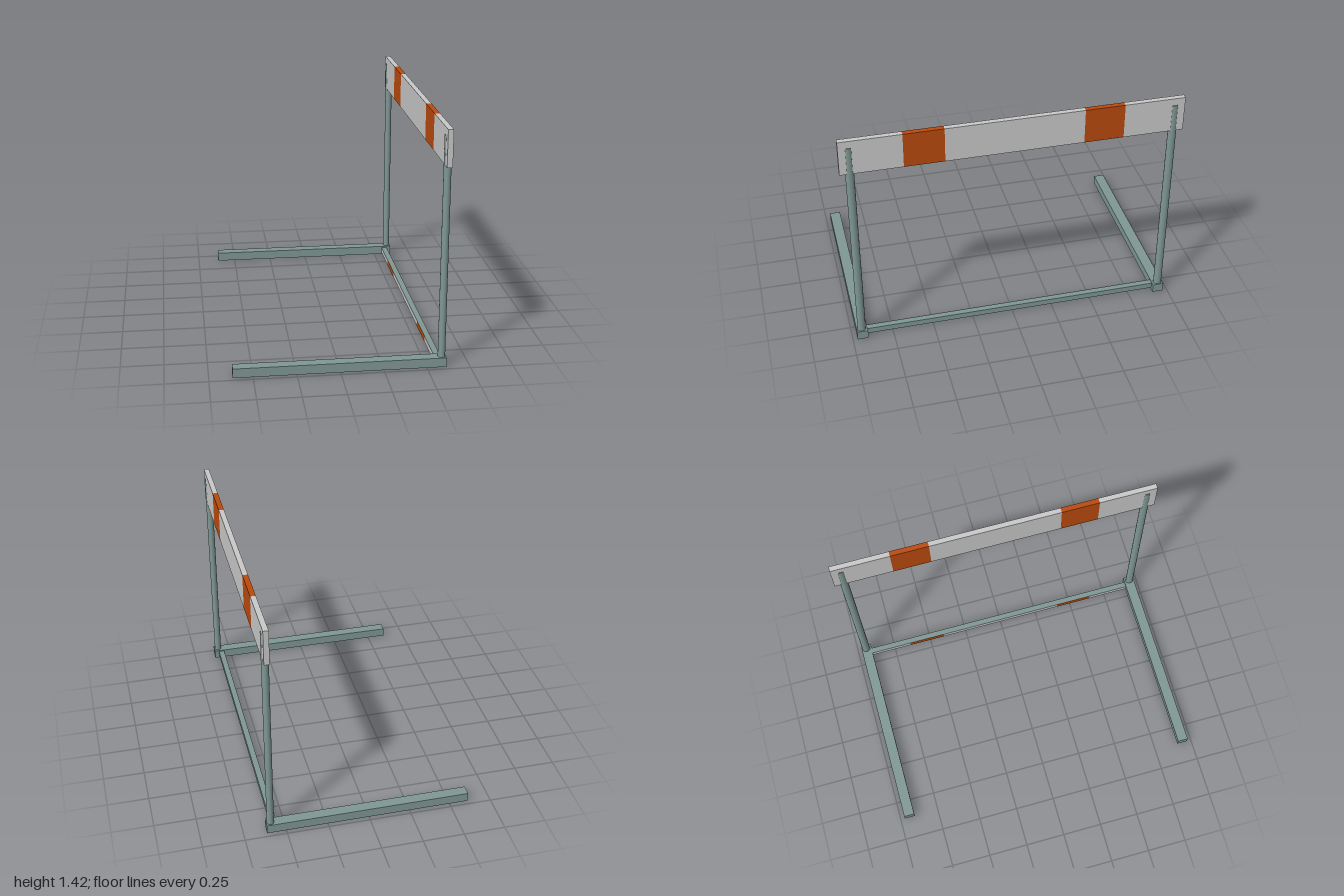
import * as THREE from 'three';

export function createModel() {
  const model = new THREE.Group();
  model.name = 'hurdle';

  const mat = (name, color) => {
    const m = new THREE.MeshStandardMaterial({ color });
    m.name = name;
    return m;
  };
  const metal = mat('greyGreenMetal', 0x7f9793);
  const white = mat('boardWhite', 0xc9c9c9);
  const orange = mat('stripeOrange', 0xba4a0d);

  // Box given by its limits on each axis
  const box = (name, [x0, x1], [y0, y1], [z0, z1], material) => {
    const mesh = new THREE.Mesh(new THREE.BoxGeometry(x1 - x0, y1 - y0, z1 - z0), material);
    mesh.position.set((x0 + x1) / 2, (y0 + y1) / 2, (z0 + z1) / 2);
    mesh.name = name;
    return mesh;
  };

  // Striped lengths shared by the top board and the lower rail
  const bands = (end) => {
    const cuts = [-end, -0.64, -0.405, 0.405, 0.64, end];
    return cuts.slice(1).map((z, i) => ({ range: [cuts[i], z], paint: i % 2 ? orange : white }));
  };

  // Top board
  const board = new THREE.Group();
  board.name = 'topBoard';
  for (const { range, paint } of bands(1)) {
    board.add(box('boardSection', [0.573, 0.605], [1.203, 1.418], range, paint));
  }
  model.add(board);

  // Lower rail: metal, with painted inner and under faces
  const rail = new THREE.Group();
  rail.name = 'lowerRail';
  for (const { range, paint } of bands(0.91)) {
    rail.add(box('railSection', [0.551, 0.587], [0.012, 0.048], range,
      [metal, paint, metal, paint, metal, metal]));
  }
  model.add(rail);

  // Feet and oval posts, mirrored on both ends
  for (const side of [-1, 1]) {
    const foot = box('foot', [-0.615, 0.615], [0, 0.056], [-0.033, 0.033], metal);
    foot.position.z = side * 0.939;
    model.add(foot);

    const post = new THREE.Mesh(new THREE.CylinderGeometry(1, 1, 1.333, 16), metal);
    post.name = 'post';
    post.scale.set(0.0215, 1, 0.025);
    post.position.set(0.589, 0.04 + 1.333 / 2, side * 0.941);
    model.add(post);
  }

  return model;
}
